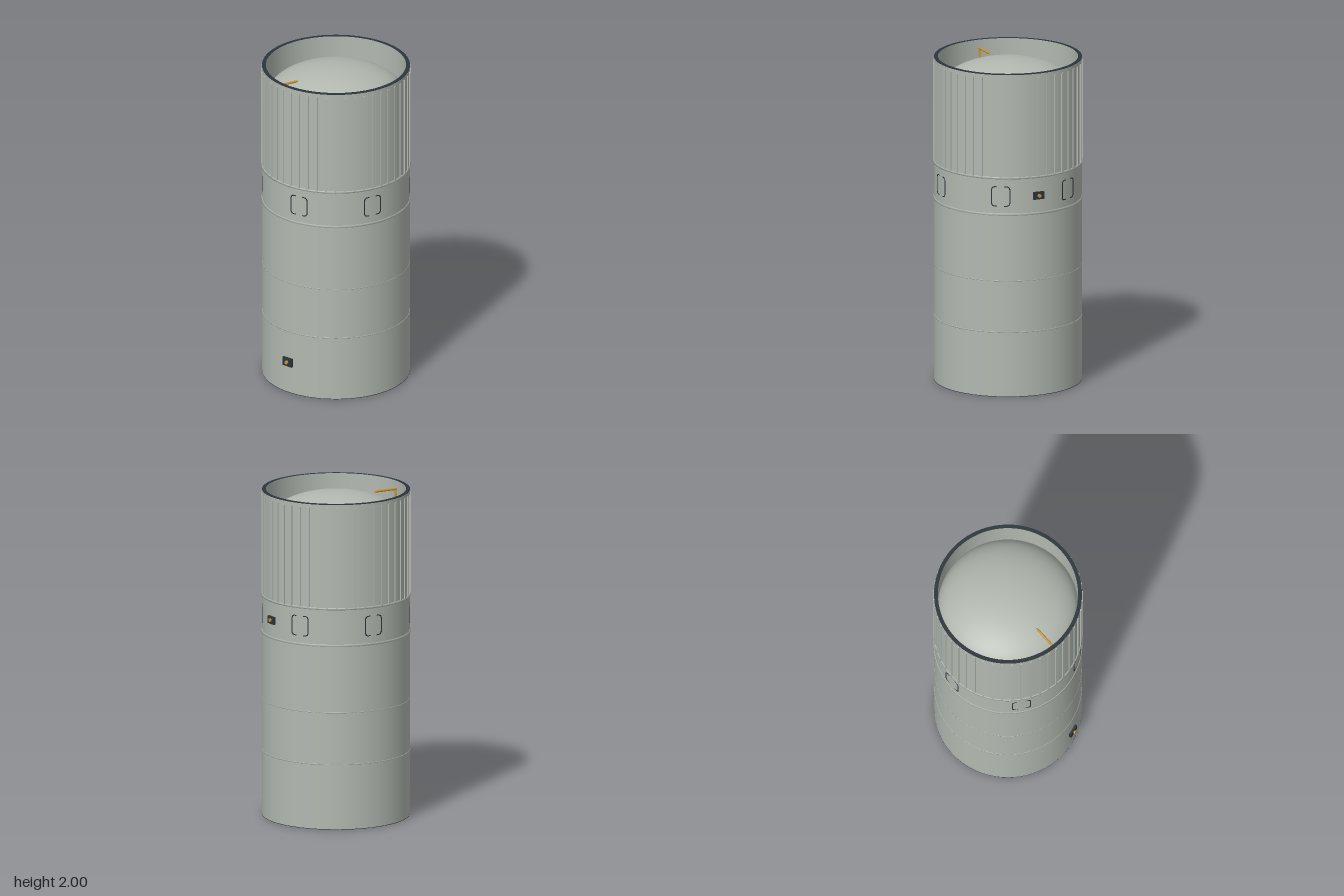
import * as THREE from 'three';

const R = 0.443, INNER = 0.422, SEG = 96;

function material(name, color, side = THREE.FrontSide) {
  const m = new THREE.MeshStandardMaterial({ color, side });
  m.name = name;
  return m;
}

export function createModel() {
  const hullGrey = material('hullGrey', 0xb2b8b0, THREE.DoubleSide);
  const darkSlate = material('darkSlate', 0x2c353c);
  const gold = material('gold', 0xc8922c);

  const model = new THREE.Group();
  model.name = 'rocketStage';
  const body = new THREE.Group();
  body.name = 'body';
  body.position.x = -0.008;
  model.add(body);

  function add(name, geometry, mat, x = 0, y = 0, z = 0, parent = body) {
    const mesh = new THREE.Mesh(geometry, mat);
    mesh.name = name;
    mesh.position.set(x, y, z);
    parent.add(mesh);
    return mesh;
  }
  const lathe = (pts) => new THREE.LatheGeometry(pts.map(([r, y]) => new THREE.Vector2(r, y)), SEG);

  // A pivot turned so that its +z points outward at the given angle from the front
  function pivot(name, degrees) {
    const g = new THREE.Group();
    g.name = name;
    g.rotation.y = THREE.MathUtils.degToRad(degrees);
    body.add(g);
    return g;
  }

  // Tank walls and dark end rims
  add('outerWall', lathe([[R, 0.002], [R, 1.998]]), hullGrey);
  add('innerWall', lathe([[INNER, 1.998], [INNER, 0.002]]), hullGrey);
  add('topRim', lathe([[R + 0.001, 1.997], [R + 0.001, 2]]), darkSlate);
  add('topRimFace', lathe([[R + 0.001, 2], [INNER - 0.001, 2]]), darkSlate);
  add('bottomRim', lathe([[R + 0.001, 0], [R + 0.001, 0.003]]), darkSlate);
  add('bottomRimFace', lathe([[INNER - 0.001, 0], [R + 0.001, 0]]), darkSlate);

  // Tank domes: one bulging up, one bulging down
  const dome = (base, rise) => {
    const pts = [];
    for (let i = 0; i <= 20; i++) {
      const a = (i / 20) * Math.PI / 2;
      pts.push([INNER * Math.cos(a), base + rise * Math.sin(a)]);
    }
    pts[20][0] = 0;
    return lathe(rise > 0 ? pts : pts.reverse());
  };
  add('upperDome', dome(1.78, 0.2), hullGrey);
  add('lowerDome', dome(0.195, -0.165), hullGrey);

  // Raised bands round the hull
  for (const [y, h, out] of [[0.4, 0.005, 0.002], [0.718, 0.004, 0.001], [1.131, 0.013, 0.004], [1.357, 0.012, 0.006]]) {
    add('band', new THREE.CylinderGeometry(R + out, R + out, h, SEG, 1), hullGrey, 0, y, 0).geometry =
      lathe([[R - 0.002, -h / 2], [R + out, -h / 2], [R + out, h / 2], [R - 0.002, h / 2]]).toNonIndexed();
  }

  // Vertical stiffening ribs of the upper skirt
  const ribGeometry = new THREE.BoxGeometry(0.011, 0.615, 0.012);
  for (let i = 0; i < 48; i++) {
    add('rib', ribGeometry, hullGrey, 0, 1.6675, R + 0.001, pivot('ribPivot', i * 7.5));
  }

  // Flat rounded hatch frames set into the curved wall
  const roundedRect = (path, w, h, r) => {
    path.absarc(w / 2 - r, h / 2 - r, r, 0, Math.PI / 2);
    path.absarc(-w / 2 + r, h / 2 - r, r, Math.PI / 2, Math.PI);
    path.absarc(-w / 2 + r, -h / 2 + r, r, Math.PI, Math.PI * 1.5);
    path.absarc(w / 2 - r, -h / 2 + r, r, Math.PI * 1.5, Math.PI * 2);
    path.closePath();
    return path;
  };
  const frame = roundedRect(new THREE.Shape(), 0.116, 0.126, 0.022);
  frame.holes.push(roundedRect(new THREE.Path(), 0.104, 0.114, 0.017));
  const frameGeometry = new THREE.ExtrudeGeometry(frame, { depth: 0.006, bevelEnabled: false, curveSegments: 6 });
  for (let i = 0; i < 6; i++) {
    add('hatchFrame', frameGeometry, darkSlate, 0, 1.243, R - 0.0067, pivot('hatch', i * 60));
  }

  // Dark connector boxes with gold plugs
  for (const [angle, y, w, h] of [[90, 1.242, 0.068, 0.046], [-70, 0.201, 0.07, 0.054]]) {
    const g = pivot('connector', angle);
    add('connectorBox', new THREE.BoxGeometry(w, h, 0.016), darkSlate, 0, y, R + 0.005, g);
    const plug = add('connectorPlug', new THREE.CylinderGeometry(0.011, 0.011, 0.014, 16), gold, 0, y, R + 0.016, g);
    plug.rotation.x = Math.PI / 2;
  }

  // Gold feed line inside the wall, with a pointed arm above the upper dome
  const rod = new THREE.CylinderGeometry(0.007, 0.007, 1, 10);
  const upper = add('upperLine', rod, gold, -0.415, 1.872, 0);
  upper.scale.y = 0.17;
  const lower = add('lowerLine', rod, gold, -0.415, 0.11, 0);
  lower.scale.y = 0.18;
  const arm = add('lineArm', rod, gold, -0.35, 1.95, 0);
  arm.rotation.z = -Math.PI / 2;
  arm.scale.y = 0.14;
  const tip = add('armTip', new THREE.ConeGeometry(0.007, 0.022, 10), gold, -0.269, 1.95, 0);
  tip.rotation.z = -Math.PI / 2;

  // Fittings under the lower dome
  const domeY = (r) => 0.195 - 0.165 * Math.sqrt(1 - (r / INNER) ** 2);
  const port = new THREE.CylinderGeometry(0.019, 0.019, 0.035, 20);
  for (const [x, z] of [[0, 0], [0.062, 0], [-0.065, 0], [0, -0.22]]) {
    add('port', port, hullGrey, x, domeY(Math.hypot(x, z)) - 0.006, z);
  }
  const collar = add('portCollar', new THREE.TorusGeometry(0.085, 0.004, 8, 40), hullGrey, 0, domeY(0.085) - 0.002, 0);
  collar.rotation.x = Math.PI / 2;
  for (let i = 0; i < 4; i++) {
    const y0 = domeY(0.1) - 0.004, y1 = domeY(0.2) - 0.004;
    const path = new THREE.LineCurve3(new THREE.Vector3(0, y0, 0.1), new THREE.Vector3(0, y1, 0.2));
    add('domeStrut', new THREE.TubeGeometry(path, 1, 0.004, 8), hullGrey, 0, 0, 0, pivot('strut', i * 90));
  }
  return model;
}
